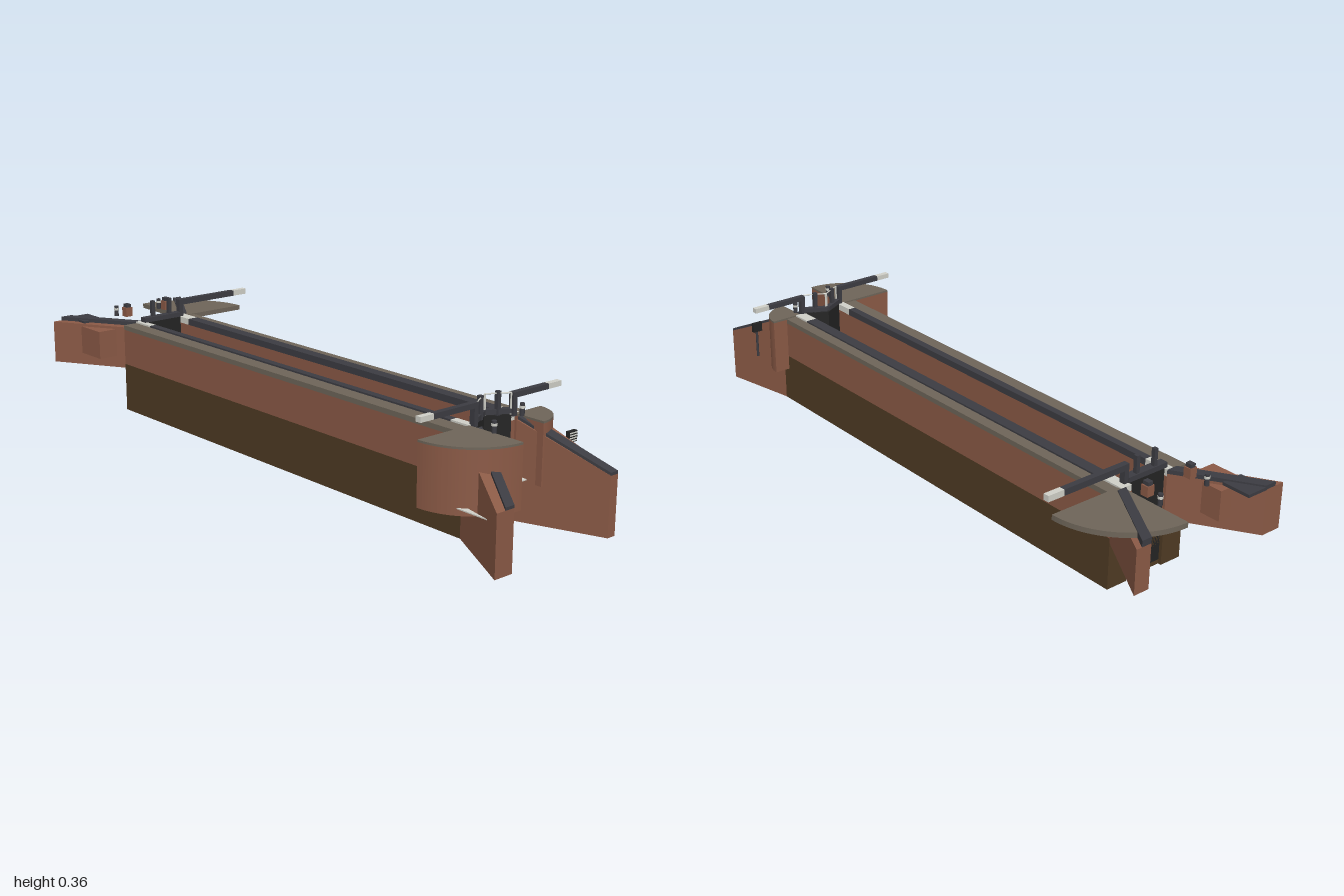
import * as THREE from 'three';

const mat = (name, color, double) => {
  const m = new THREE.MeshStandardMaterial({ color });
  m.name = name;
  if (double) m.side = THREE.DoubleSide;
  return m;
};

export function createModel() {
  const brick = mat('brick', 0x8b5a46);
  const earth = mat('lower wall brown', 0x4f3b24);
  const stone = mat('paving stone', 0x6e6559);
  const iron = mat('dark coping', 0x3c3c42);
  const timber = mat('black timber', 0x242424);
  const white = mat('white paint', 0xd0d0c8);

  const model = new THREE.Group();
  model.name = 'canalLock';

  const add = (name, geometry, material) => {
    const mesh = new THREE.Mesh(geometry, material);
    mesh.name = name;
    model.add(mesh);
    return mesh;
  };
  // box given by its minimum and maximum on each axis
  const box = (name, m, x0, x1, y0, y1, z0, z1) => {
    const g = new THREE.BoxGeometry(x1 - x0, y1 - y0, z1 - z0);
    g.translate((x0 + x1) / 2, (y0 + y1) / 2, (z0 + z1) / 2);
    return add(name, g, m);
  };
  // tapering block between two ends, each end: [x, zMin, zMax, yMin, yMax]
  const taper = (name, m, a, b) => {
    const g = new THREE.BoxGeometry(1, 1, 1);
    const p = g.attributes.position;
    for (let i = 0; i < p.count; i++) {
      const e = p.getX(i) < 0 ? a : b;
      p.setXYZ(i, e[0], p.getY(i) < 0 ? e[3] : e[4], p.getZ(i) < 0 ? e[1] : e[2]);
    }
    g.computeVertexNormals();
    return add(name, g, m);
  };
  // quarter disc; the start angle is measured in plan from +x towards -z
  const quarter = (name, m, x, z, r, y0, y1, start) => {
    const s = new THREE.Shape();
    s.moveTo(0, 0);
    s.absarc(0, 0, r, start, start + Math.PI / 2, false);
    s.lineTo(0, 0);
    const g = new THREE.ExtrudeGeometry(s, { depth: y1 - y0, bevelEnabled: false, curveSegments: 16 });
    g.rotateX(-Math.PI / 2);
    g.translate(x, y0, z);
    return add(name, g, m);
  };
  const post = (name, m, x, z, r, y0, y1) => {
    const g = new THREE.CylinderGeometry(r, r, y1 - y0, 10);
    g.translate(x, (y0 + y1) / 2, z);
    return add(name, g, m);
  };

  // chamber walls: [inner z, coping edge z, outer z]
  for (const [zi, zc, zo] of [[0.1, 0.123, 0.17], [-0.03, -0.065, -0.1]]) {
    const span = (a, b) => [Math.min(a, b), Math.max(a, b)];
    box('lowerWall', earth, -0.78, 0.755, 0, 0.155, ...span(zi, zo));
    box('upperWall', brick, -0.78, 0.73, 0.155, 0.27, ...span(zi, zo));
    box('towpathPaving', stone, -0.78, 0.73, 0.27, 0.285, ...span(zc, zo));
    box('wallCoping', iron, -0.7, 0.665, 0.27, 0.29, ...span(zi, zc));
    box('whiteCopingEnd', white, -0.78, -0.7, 0.27, 0.29, ...span(zi, zc));
    box('whiteCopingEnd', white, 0.665, 0.73, 0.27, 0.29, ...span(zi, zc));
  }
  box('upperCill', earth, -0.77, -0.715, 0, 0.155, -0.03, 0.1);

  // wing walls at the lower end, sloping down outwards
  taper('lowerFrontWing', brick, [0.755, 0.1, 0.17, 0, 0.28], [1, 0.241, 0.302, 0, 0.17]);
  taper('lowerFrontWingCoping', iron, [0.755, 0.1, 0.13, 0.28, 0.288], [1, 0.241, 0.272, 0.17, 0.178]);
  taper('lowerBackWing', brick, [0.755, -0.1, -0.03, 0, 0.28], [1, -0.148, -0.12, 0, 0.17]);
  taper('lowerBackWingCoping', iron, [0.755, -0.07, -0.035, 0.28, 0.288], [1, -0.148, -0.12, 0.17, 0.178]);

  // wing walls at the upper end
  taper('upperFrontWing', brick, [-1, 0.238, 0.302, 0.142, 0.278], [-0.78, 0.1, 0.17, 0.142, 0.278]);
  taper('upperFrontWingCoping', iron, [-1, 0.235, 0.272, 0.278, 0.29], [-0.78, 0.1, 0.135, 0.278, 0.29]);
  taper('upperBackWing', brick, [-1, -0.23, -0.18, 0.142, 0.272], [-0.78, -0.1, -0.03, 0.142, 0.272]);
  taper('upperBackWingCoping', iron, [-1, -0.212, -0.18, 0.272, 0.29], [-0.78, -0.08, -0.05, 0.272, 0.29]);
  box('brickButtress', brick, -0.925, -0.805, 0.18, 0.27, 0.15, 0.25);
  box('sidePaving', iron, -1, -0.91, 0.276, 0.285, 0.17, 0.24);

  // quarter-round abutments and swing platforms
  quarter('frontAbutment', brick, 0.73, 0.12, 0.184, 0.11, 0.283, -Math.PI / 2);
  quarter('frontAbutmentPaving', stone, 0.73, 0.12, 0.184, 0.283, 0.289, -Math.PI / 2);
  quarter('backAbutment', brick, 0.73, -0.05, 0.1, 0.11, 0.283, 0);
  quarter('backAbutmentPaving', stone, 0.73, -0.05, 0.1, 0.283, 0.289, 0);
  quarter('upperSwingPlatform', stone, -0.765, -0.055, 0.237, 0.272, 0.287, Math.PI / 2);

  // lower mitre gates, each leaf with beam, paddle post and rail
  const mid = 0.035;
  for (const [s, end, tip] of [[1, 0.307, 0.26], [-1, -0.217, -0.167]]) {
    const hinge = mid + s * 0.066;
    const leaf = new THREE.Shape([[0.735, hinge], [0.7, mid], [0.688, mid], [0.723, hinge]]
      .map(([x, z]) => new THREE.Vector2(x, -z)));
    const g = new THREE.ExtrudeGeometry(leaf, { depth: 0.277, bevelEnabled: false });
    g.rotateX(-Math.PI / 2);
    g.translate(0, 0.013, 0);
    add('lowerGateLeaf', g, timber);
    const rail = new THREE.BoxGeometry(0.016, 0.014, 0.075);
    rail.rotateY(s * Math.atan2(0.035, 0.066));
    rail.translate(0.713, 0.3, mid + s * 0.033);
    add('gateTopRail', rail, iron);
    const span = (a, b) => [Math.min(a, b), Math.max(a, b)];
    box('beamPost', iron, 0.725, 0.742, 0.285, 0.35, ...span(hinge, hinge + s * 0.014));
    box('balanceBeam', iron, 0.725, 0.742, 0.335, 0.35, ...span(hinge, tip));
    box('balanceBeamTip', white, 0.725, 0.742, 0.335, 0.35, ...span(tip, end));
    box('paddlePost', iron, 0.71, 0.722, 0.29, 0.356, ...span(mid + s * 0.027, mid + s * 0.039));
    // white hand rail above each leaf
    const from = new THREE.Vector3(0.735, 0.35, hinge - s * 0.003);
    const to = new THREE.Vector3(0.7, 0.35, mid);
    add('handRail', new THREE.TubeGeometry(new THREE.LineCurve3(from, to), 1, 0.002, 6), white);
    post('handRailPost', white, from.x, from.z, 0.0025, 0.29, 0.35);
    post('handRailPost', white, to.x, to.z + s * 0.002, 0.0025, 0.29, 0.35);
  }

  // single upper gate with its beam
  box('upperGate', timber, -0.77, -0.745, 0.013, 0.29, -0.03, 0.1);
  box('upperGateRail', iron, -0.77, -0.745, 0.29, 0.305, -0.03, 0.11);
  box('upperBeamPost', iron, -0.768, -0.75, 0.285, 0.346, -0.045, -0.03);
  box('upperBalanceBeam', iron, -0.768, -0.75, 0.328, 0.346, -0.255, -0.03);
  box('upperBeamTip', white, -0.768, -0.75, 0.328, 0.346, -0.308, -0.255);
  for (const z of [0.005, 0.07]) box('upperPaddlePost', iron, -0.766, -0.754, 0.29, 0.356, z - 0.006, z + 0.006);

  // water leaking through the lower gates
  box('foamSheet', white, 0.735, 0.8, 0.126, 0.129, -0.027, 0.102);
  for (const [z, top] of [[0.08, 0.218], [0.05, 0.19], [0.016, 0.2], [-0.011, 0.192]])
    box('waterJet', white, 0.737, 0.741, 0.128, top, z - 0.003, z + 0.003);
  const ledge = new THREE.Shape([[0.83, -0.245], [0.94, -0.27], [0.83, -0.27]].map(([x, y]) => new THREE.Vector2(x, y)));
  const ledgeGeo = new THREE.ExtrudeGeometry(ledge, { depth: 0.003, bevelEnabled: false });
  ledgeGeo.rotateX(-Math.PI / 2);
  ledgeGeo.translate(0, 0.128, 0);
  add('thinLedge', ledgeGeo, white);

  // mooring bollards and paddle pedestals
  for (const [x, z] of [[-0.9, 0.12], [-0.9, -0.05], [0.815, 0.12], [0.755, -0.05]]) {
    post('bollard', iron, x, z, 0.007, 0.288, 0.322);
    post('bollardBand', white, x, z, 0.008, 0.308, 0.315);
  }
  for (const z of [0.11, -0.045]) {
    box('paddlePedestal', brick, -0.862, -0.838, 0.295, 0.325, z - 0.012, z + 0.012);
    box('pedestalCap', iron, -0.86, -0.84, 0.325, 0.336, z - 0.008, z + 0.008);
  }

  // small striped board on a post
  post('boardPost', iron, 0.845, -0.147, 0.004, 0.13, 0.22);
  box('board', timber, 0.838, 0.85, 0.218, 0.248, -0.162, -0.13);
  for (let i = 0; i < 4; i++)
    box('boardStripe', white, 0.85, 0.852, 0.221 + i * 0.007, 0.224 + i * 0.007, -0.16, -0.132);

  return model;
}
